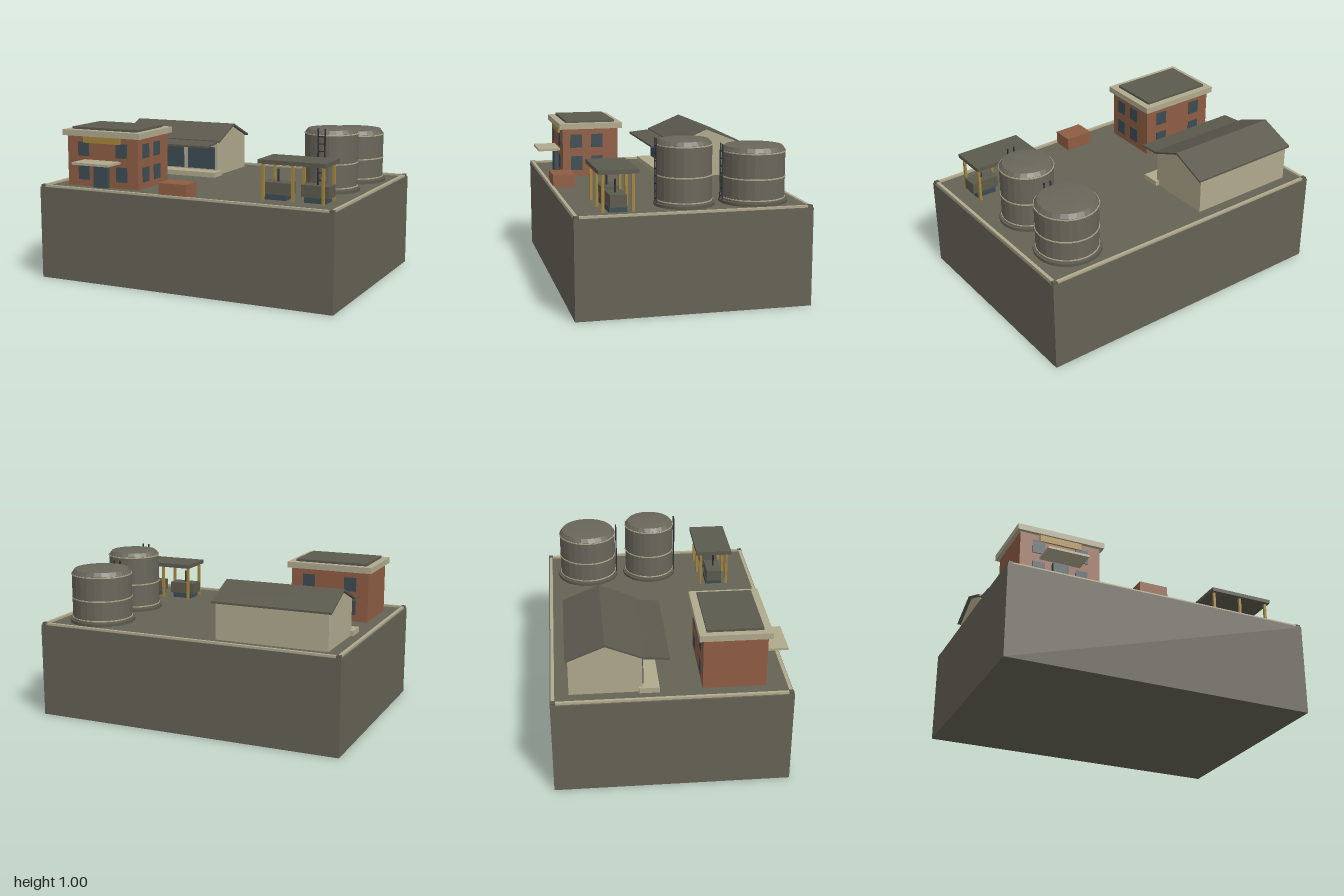
import * as THREE from 'three';

const paint = (name, color) => {
  const m = new THREE.MeshStandardMaterial({ color });
  m.name = name;
  return m;
};

export function createModel() {
  const concrete = paint('concrete', 0x656255);
  const roofing = paint('roofing', 0x5c5a4e);
  const steel = paint('tank steel', 0x69665a);
  const cream = paint('cream', 0xb0a98d);
  const brick = paint('brick', 0x8f5d43);
  const glass = paint('blue grey glass', 0x3c4c53);
  const yellow = paint('ochre', 0xa5853c);
  const iron = paint('dark iron', 0x2b3034);

  const model = new THREE.Group();
  model.name = 'industrialYard';
  const GROUND = 0.595;

  const section = (name) => {
    const g = new THREE.Group();
    g.name = name;
    model.add(g);
    return g;
  };
  const add = (parent, name, geo, mat) => {
    const m = new THREE.Mesh(geo, mat);
    m.name = name;
    parent.add(m);
    return m;
  };
  // Box given by its extents on each axis
  const box = (parent, name, mat, x0, x1, y0, y1, z0, z1) => {
    const m = add(parent, name, new THREE.BoxGeometry(x1 - x0, y1 - y0, z1 - z0), mat);
    m.position.set((x0 + x1) / 2, (y0 + y1) / 2, (z0 + z1) / 2);
    return m;
  };
  // Profile of [z, y] points swept along x
  const sweepX = (parent, name, mat, x0, x1, pts) => {
    const shape = new THREE.Shape(pts.map(([z, y]) => new THREE.Vector2(-z, y)));
    const geo = new THREE.ExtrudeGeometry(shape, { depth: x1 - x0, bevelEnabled: false });
    geo.rotateY(Math.PI / 2).translate(x0, 0, 0);
    return add(parent, name, geo, mat);
  };

  // Ground block with a low kerb and corner blocks
  const site = section('site');
  box(site, 'groundBlock', concrete, -1, 1, 0, GROUND, -0.71, 0.71);
  for (const s of [-1, 1]) {
    const x = s * 0.98, z = s * 0.693;
    box(site, 'kerbSide', cream, x - 0.01, x + 0.01, GROUND, 0.608, -0.7, 0.7);
    box(site, 'kerbEnd', cream, -0.98, 0.98, GROUND, 0.608, z - 0.01, z + 0.01);
    for (const t of [-1, 1]) {
      const cz = t * 0.693;
      box(site, 'kerbCorner', roofing, x - 0.014, x + 0.014, GROUND, 0.61, cz - 0.014, cz + 0.014);
    }
  }

  // Brick office
  const office = section('office');
  box(office, 'officeWalls', brick, -0.88, -0.36, GROUND, 0.92, 0.185, 0.562);
  box(office, 'roofSlab', cream, -0.903, -0.338, 0.918, 0.956, 0.158, 0.585);
  box(office, 'roofCap', roofing, -0.86, -0.383, 0.956, 0.971, 0.203, 0.537);
  box(office, 'door', glass, -0.674, -0.572, GROUND, 0.738, 0.56, 0.59);
  box(office, 'doorCanopy', cream, -0.755, -0.49, 0.753, 0.768, 0.56, 0.71);
  box(office, 'signBoard', yellow, -0.757, -0.487, 0.876, 0.918, 0.56, 0.573);
  for (const [y0, y1] of [[0.637, 0.732], [0.79, 0.88]]) {
    for (const x of [-0.76, -0.48]) {
      box(office, 'frontWindow', glass, x - 0.04, x + 0.04, y0, y1, 0.56, 0.567);
      box(office, 'backWindow', glass, x - 0.04, x + 0.04, y0, y1, 0.18, 0.187);
    }
    for (const z of [0.329, 0.469])
      box(office, 'sideWindow', glass, -0.362, -0.355, y0, y1, z - 0.039, z + 0.039);
  }

  // Warehouse with a gable roof, a loading dock and a canopy
  const barn = section('warehouse');
  sweepX(barn, 'warehouseWalls', cream, -0.885, -0.17,
    [[-0.17, GROUND], [-0.17, 0.826], [-0.385, 0.914], [-0.6, 0.826], [-0.6, GROUND]]);
  sweepX(barn, 'gableRoof', roofing, -0.905, -0.148,
    [[-0.155, 0.821], [-0.155, 0.833], [-0.385, 0.927], [-0.615, 0.833], [-0.615, 0.821], [-0.385, 0.915]]);
  sweepX(barn, 'dockCanopy', roofing, -0.885, -0.17,
    [[-0.165, 0.812], [-0.165, 0.828], [-0.01, 0.813], [-0.01, 0.8]]);
  box(barn, 'loadingDock', cream, -0.905, -0.145, GROUND, 0.628, -0.19, -0.07);
  for (const x of [-0.765, -0.5275, -0.29])
    box(barn, 'dockDoor', glass, x - 0.102, x + 0.102, 0.636, 0.786, -0.172, -0.163);

  // Storage tanks: faceted shell, thin hoops and a front ladder
  const tank = (name, z, r, shoulder, top, hoops) => {
    const g = section(name);
    g.position.set(0.711, 0, z);
    const foot = add(g, 'tankFoot', new THREE.CylinderGeometry(r + 0.017, r + 0.017, 0.018, 24), roofing);
    foot.position.y = GROUND + 0.009;
    const profile = [[r, GROUND], [r, shoulder], [r - 0.018, top - 0.01], [r * 0.5, top - 0.002], [0, top]];
    const shell = new THREE.LatheGeometry(profile.map(([x, y]) => new THREE.Vector2(x, y)), 24).toNonIndexed();
    shell.computeVertexNormals();
    add(g, 'tankShell', shell, steel);
    for (const y of hoops) {
      const hoop = add(g, 'tankHoop', new THREE.CylinderGeometry(r + 0.004, r + 0.004, 0.007, 24), cream);
      hoop.position.y = y;
    }
    for (const x of [-0.022, 0.022])
      box(g, 'ladderRail', iron, x - 0.004, x + 0.004, GROUND, top + 0.004, r + 0.005, r + 0.012);
    for (let y = GROUND + 0.04; y < top; y += 0.045)
      box(g, 'ladderRung', iron, -0.022, 0.022, y - 0.003, y + 0.003, r + 0.006, r + 0.011);
  };
  tank('smallTank', 0, 0.166, 0.962, 0.995, [0.627, 0.776, 0.957]);
  tank('largeTank', -0.43, 0.191, 0.91, 0.946, [0.627, 0.753, 0.905]);

  // Open shelter over two pump units
  const shelter = section('pumpShelter');
  box(shelter, 'shelterRoof', roofing, 0.45, 0.88, 0.82, 0.845, 0.308, 0.547);
  for (const x of [0.474, 0.665, 0.857])
    for (const z of [0.34, 0.518])
      box(shelter, 'shelterPost', yellow, x - 0.008, x + 0.008, GROUND, 0.82, z - 0.008, z + 0.008);
  for (const x of [0.538, 0.792]) {
    box(shelter, 'pumpBase', glass, x - 0.068, x + 0.068, GROUND, 0.628, 0.376, 0.484);
    box(shelter, 'pumpHousing', roofing, x - 0.09, x + 0.09, 0.627, 0.7, 0.381, 0.48);
    const pipe = add(shelter, 'exhaustPipe', new THREE.CylinderGeometry(0.006, 0.006, 0.08, 8), iron);
    pipe.position.set(x, 0.738, 0.434);
  }

  // Brick store beside the gate
  box(section('store'), 'brickStore', brick, -0.145, 0.042, GROUND, 0.68, 0.547, 0.687);

  return model;
}
